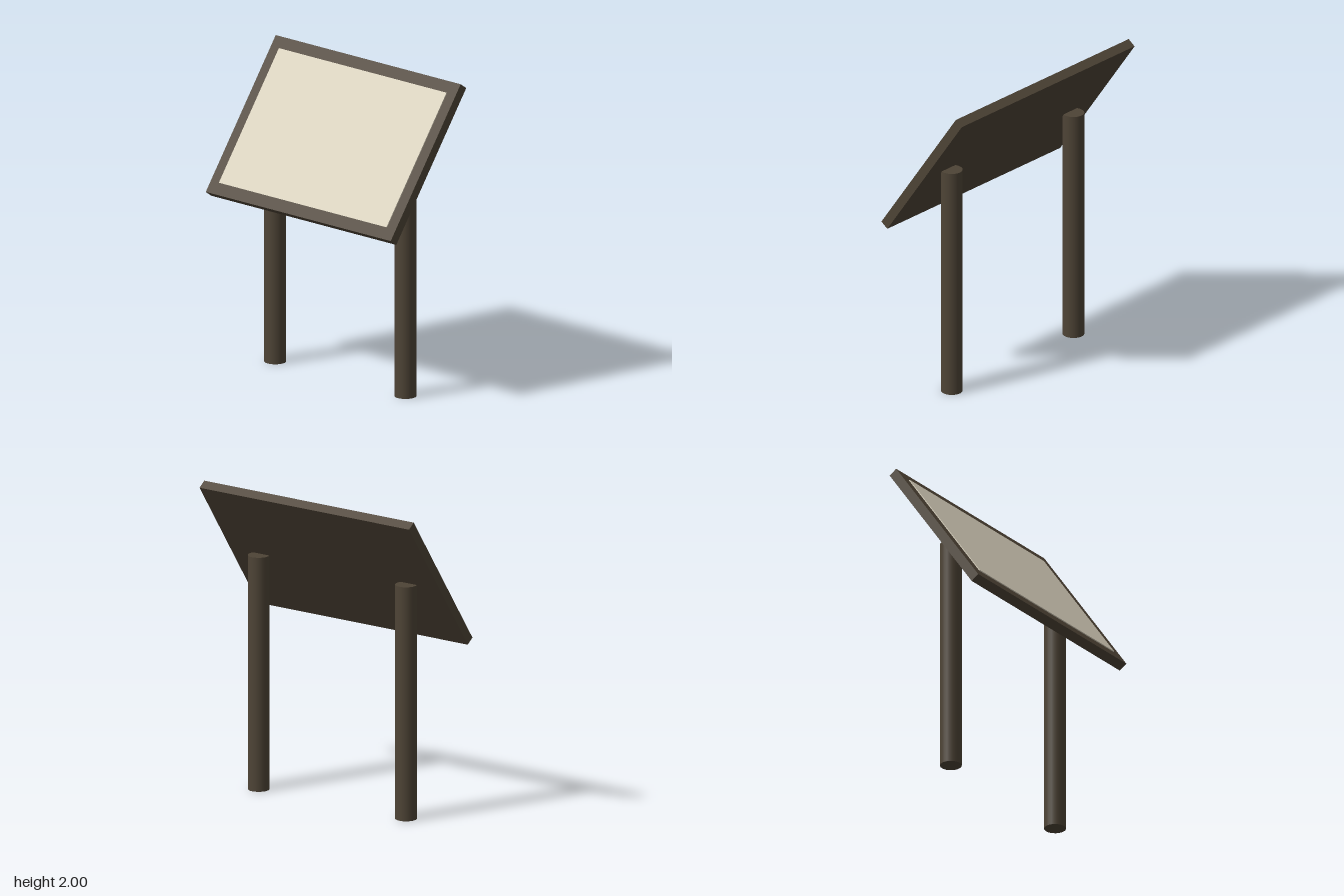
import * as THREE from 'three';

export function createModel() {
  const model = new THREE.Group();
  model.name = 'informationBoard';
  const wood = new THREE.MeshStandardMaterial({ name: 'darkWood', color: 0x4e4436 });
  const paper = new THREE.MeshStandardMaterial({ name: 'creamSheet', color: 0xd8d0bc });

  const add = (parent, name, geometry, material, x, y, z) => {
    const mesh = new THREE.Mesh(geometry, material);
    mesh.name = name;
    mesh.position.set(x, y, z);
    parent.add(mesh);
  };

  // Two round posts, their tops sunk into the back of the board
  const postHeight = 1.505;
  const post = new THREE.CylinderGeometry(0.068, 0.068, postHeight, 24);
  for (const [name, side] of [['leftPost', 1], ['rightPost', -1]]) {
    add(model, name, post, wood, side * 0.563, postHeight / 2, -0.038);
  }

  // Board leaning back, with a thin sheet on its face
  const board = new THREE.Group();
  board.name = 'tiltedBoard';
  board.position.set(0, 1.541, 0);
  board.rotation.x = THREE.MathUtils.degToRad(-35);
  const thickness = 0.06, sheet = 0.006;
  add(board, 'backingBoard', new THREE.BoxGeometry(1.6, 1.078, thickness), wood, 0, 0, 0);
  add(board, 'sheet', new THREE.BoxGeometry(1.45, 0.925, sheet), paper, 0, 0, (thickness + sheet) / 2);
  model.add(board);

  return model;
}
